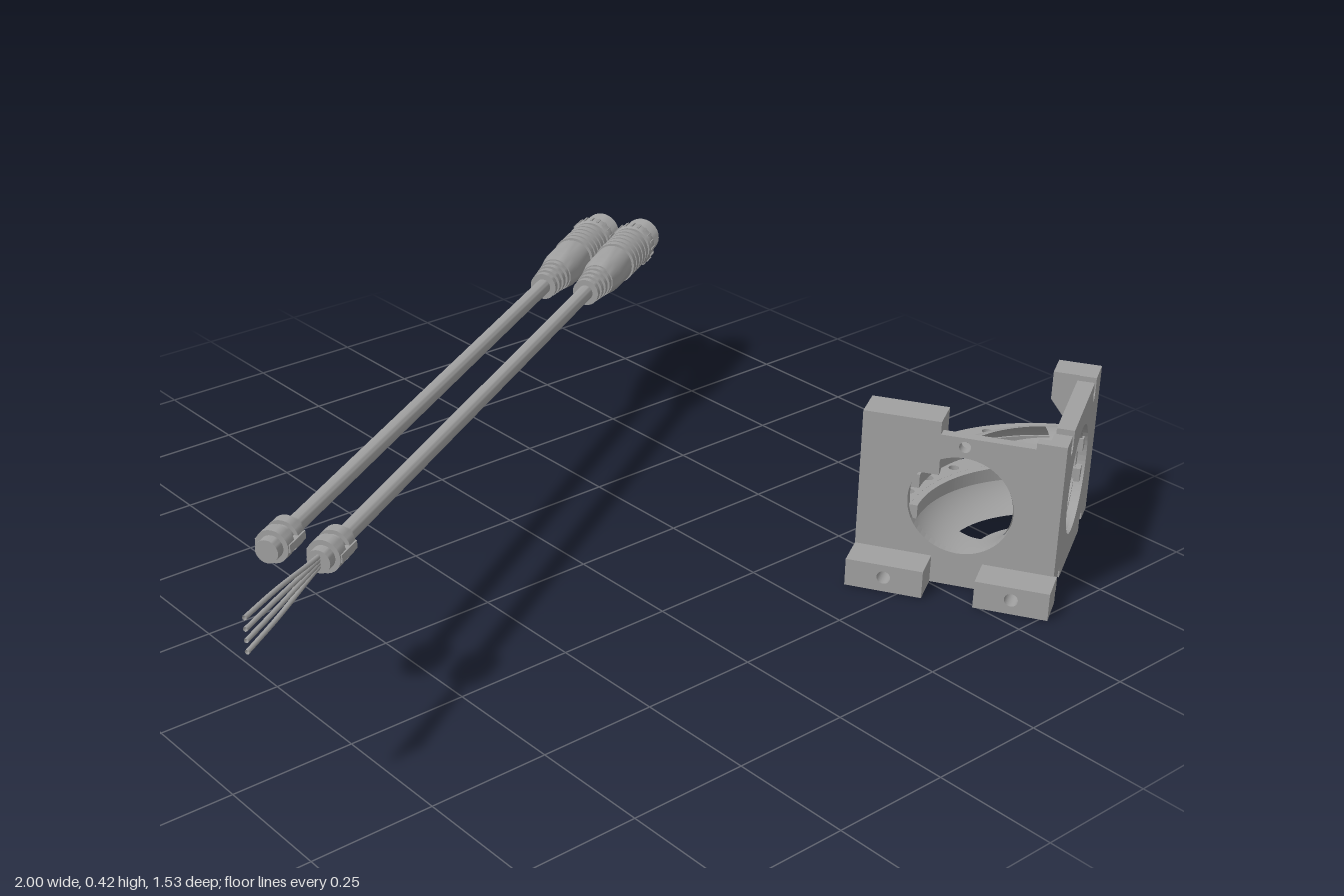
import * as THREE from 'three';
import { toCreasedNormals } from 'three/addons/utils/BufferGeometryUtils.js';
import { ParametricGeometry } from 'three/addons/geometries/ParametricGeometry.js';

const grey = new THREE.MeshStandardMaterial({ color: 0xa0a0a0, side: THREE.DoubleSide });
grey.name = 'satin grey';

function add(parent, name, geometry, x = 0, y = 0, z = 0) {
  const mesh = new THREE.Mesh(geometry, grey);
  mesh.name = name;
  mesh.position.set(x, y, z);
  parent.add(mesh);
  return mesh;
}

// Closed outline with round holes given as [x, y, radius]
function outline(points, holes = []) {
  const shape = new THREE.Shape(points.map(p => new THREE.Vector2(...p)));
  for (const [x, y, r] of holes) {
    const hole = new THREE.Path();
    hole.absarc(x, y, r, 0, Math.PI * 2, true);
    shape.holes.push(hole);
  }
  return shape;
}
const rect = (x0, y0, x1, y1) => [[x0, y0], [x1, y0], [x1, y1], [x0, y1]];
const extrude = (shape, depth) =>
  new THREE.ExtrudeGeometry(shape, { depth, bevelEnabled: false, curveSegments: 28 });

// Extrudes a (z, y) outline along x from x0 to x1
function sidePart(parent, name, shape, x0, x1) {
  add(parent, name, extrude(shape, x1 - x0).rotateY(-Math.PI / 2), x1);
}

// Turned part lying along x, from [position, radius] pairs
function turned(parent, name, profile, segments = 28) {
  const pts = profile.map(([x, r]) => new THREE.Vector2(r, x));
  const geo = toCreasedNormals(new THREE.LatheGeometry(pts, segments), 0.6);
  return add(parent, name, geo.rotateZ(-Math.PI / 2));
}

function makeCable(hasWires) {
  const cable = new THREE.Group();
  cable.name = 'cable';
  turned(cable, 'cord', [[-0.765, 0], [-0.765, 0.017], [0.56, 0.017]]);

  // Split clamp collar with two lugs
  turned(cable, 'collar', [[-0.775, 0], [-0.775, 0.023], [-0.755, 0.023], [-0.755, 0.033], [-0.73, 0.033],
    [-0.73, 0.025], [-0.715, 0.025], [-0.715, 0.033], [-0.692, 0.033], [-0.692, 0.022], [-0.675, 0.022], [-0.675, 0.017]]);
  for (const s of [-1, 1]) {
    add(cable, 'collarLug', new THREE.BoxGeometry(0.06, 0.016, 0.012), -0.722, 0, s * 0.029);
  }

  // Ridged strain relief
  const relief = [[0.55, 0.017]];
  for (let i = 0; i < 4; i++) {
    const x = 0.55 + i * 0.02, r = 0.03 + i * 0.002;
    relief.push([x, r], [x + 0.013, r], [x + 0.013, r - 0.006], [x + 0.02, r - 0.006]);
  }
  turned(cable, 'strainRelief', relief);

  // Tapered grip with ribs
  const grip = [[0.625, 0.03], [0.625, 0.038], [0.66, 0.044], [0.735, 0.045]];
  for (let i = 0; i < 5; i++) {
    const x = 0.735 + i * 0.021;
    grip.push([x, 0.04], [x + 0.006, 0.04], [x + 0.006, 0.048], [x + 0.021, 0.048]);
  }
  grip.push([0.84, 0.032], [0.86, 0.032]);
  turned(cable, 'grip', grip);

  // Knurled nut, threaded nose and hollow socket
  turned(cable, 'nut', [[0.852, 0.03], [0.852, 0.047], [0.857, 0.05], [0.878, 0.05], [0.882, 0.045], [0.882, 0.03]]);
  for (let i = 0; i < 20; i++) {
    const a = i * Math.PI / 10;
    const ridge = add(cable, 'nutRidge', new THREE.BoxGeometry(0.02, 0.005, 0.005),
      0.867, 0.05 * Math.cos(a), 0.05 * Math.sin(a));
    ridge.rotation.x = a;
  }
  const nose = [[0.88, 0.036]];
  for (let i = 0; i < 5; i++) nose.push([0.886 + i * 0.011, 0.036], [0.891 + i * 0.011, 0.042]);
  nose.push([0.945, 0.036], [0.945, 0.031], [0.895, 0.031], [0.895, 0]);
  turned(cable, 'threadedNose', nose);
  for (let i = 0; i < 4; i++) {
    const a = Math.PI / 4 + i * Math.PI / 2;
    const pin = new THREE.CylinderGeometry(0.004, 0.004, 0.04, 10).rotateZ(Math.PI / 2);
    add(cable, 'pin', pin, 0.913, 0.015 * Math.cos(a), 0.015 * Math.sin(a));
  }
  add(cable, 'socketKey', new THREE.BoxGeometry(0.045, 0.009, 0.009), 0.917, 0.027, 0);

  // Bare wires fanning out vertically
  if (hasWires) {
    for (const k of [-1.5, -0.5, 0.5, 1.5]) {
      const path = new THREE.CatmullRomCurve3([
        new THREE.Vector3(-0.76, k * 0.006, 0),
        new THREE.Vector3(-0.81, k * 0.009, 0),
        new THREE.Vector3(-0.93, k * 0.018, 0),
        new THREE.Vector3(-1.04, k * 0.022, 0)]);
      add(cable, 'wire', new THREE.TubeGeometry(path, 12, 0.0045, 8));
    }
  }
  return cable;
}

function makeBracket() {
  const g = new THREE.Group();
  g.name = 'bracket';
  const cx = 0.19, cz = 0.94, mid = 0.183, bend = 0.2, bore = 0.105;

  // Front plate with edge notches and a stepped bore
  const slots = [0.255, 0.525], s = 0.013;
  const edge = [[0.185, 0.0]];
  for (const u of slots) edge.push([u - s, 0.0], [u - s, 0.03], [u - s / 2, 0.043], [u + s / 2, 0.043], [u + s, 0.03], [u + s, 0.015]);
  edge.push([0.605, 0.01], [0.605, 0.348]);
  for (const u of [...slots].reverse()) edge.push([u + s, 0.348], [u + s, 0.315], [u + s / 2, 0.303], [u - s / 2, 0.303], [u - s, 0.315], [u - s, 0.348]);
  edge.push([0.185, 0.348]);
  add(g, 'frontPlate', extrude(outline(edge, [[cx + bend, mid, 0.115]]), 0.018), 0, 0, cz - 0.018);
  add(g, 'frontPlateBack', extrude(outline(edge, [[cx + bend, mid, 0.098]]), 0.018), 0, 0, cz - 0.036);

  // Thick outer end of the plate, relieved in the middle
  sidePart(g, 'plateEnd', outline([[0.85, 0.01], [0.906, 0.01], [0.906, 0.348], [0.85, 0.348], [0.85, 0.285],
    [0.885, 0.24], [0.885, 0.12], [0.85, 0.07]]), 0.54, 0.605);

  // Side wall with bore and mounting hole
  sidePart(g, 'sideWall', outline([[0.53, 0], [0.94, 0], [0.94, 0.348], [0.88, 0.348], [0.88, 0.335], [0.69, 0.335],
    [0.69, 0.362], [0.53, 0.362]], [[cz - bend, mid, 0.108], [cz - bend, 0.315, 0.012]]), 0.185, 0.208);

  // Post head with a chamfered underside
  add(g, 'postHead', extrude(outline([[0.195, 0.24], [0.208, 0.24], [0.26, 0.285], [0.26, 0.362], [0.195, 0.362]]), 0.16), 0, 0, 0.53);

  // Low feet with cross holes
  for (const [z0, z1] of [[0.53, 0.69], [0.795, 0.946]]) {
    const zm = (z0 + z1) / 2;
    sidePart(g, 'foot', outline(rect(z0, 0, z1, 0.06), [[zm, 0.032, 0.014]]), 0.11, 0.187);
  }

  // Hollow quarter elbow in patches, leaving curved slots at top, bottom and outside
  const patch = (t0, t1, p0, p1) => add(g, 'elbow', new ParametricGeometry((a, b, v) => {
    const t = t0 + (t1 - t0) * a, p = p0 + (p1 - p0) * b;
    const r = bend + bore * Math.cos(p);
    v.set(cx + r * Math.sin(t), mid + bore * Math.sin(p), cz - r * Math.cos(t));
  }, 20, 14));
  const H = Math.PI / 2, slotLow = 0.36, slotHigh = 1.22;
  for (const m of [-1, 1]) {
    patch(0.03, H - 0.03, m * 0.19, m * (H - 0.25));
    patch(0.03, H - 0.03, m * (H + 0.25), m * Math.PI);
    patch(0.03, slotLow, m * (H - 0.25), m * (H + 0.25));
    patch(slotHigh, H - 0.03, m * (H - 0.25), m * (H + 0.25));
  }

  // Two drilled arc flanges either side of the outer slot
  const arc = new THREE.Shape();
  arc.absarc(0, 0, 0.35, 0.02, H - 0.02, false);
  arc.absarc(0, 0, 0.288, H - 0.02, 0.02, true);
  for (let i = 0; i < 6; i++) {
    const a = 0.2 + i * 0.235, hole = new THREE.Path();
    hole.absarc(0.325 * Math.cos(a), 0.325 * Math.sin(a), 0.011, 0, Math.PI * 2, true);
    arc.holes.push(hole);
  }
  for (const y of [0.133, 0.203]) {
    add(g, 'arcFlange', extrude(arc, 0.03).rotateX(-H), cx, y, cz);
  }
  return g;
}

export function createModel() {
  const model = new THREE.Group();
  model.name = 'cablesAndBracket';
  model.rotation.y = Math.PI / 6;

  const rear = makeCable(false);
  rear.position.set(0, 0.37, -0.305);
  const front = makeCable(true);
  front.position.set(0, 0.37, -0.203);
  model.add(rear, front, makeBracket());

  const root = new THREE.Group();
  root.name = 'model';
  root.add(model);
  return root;
}
